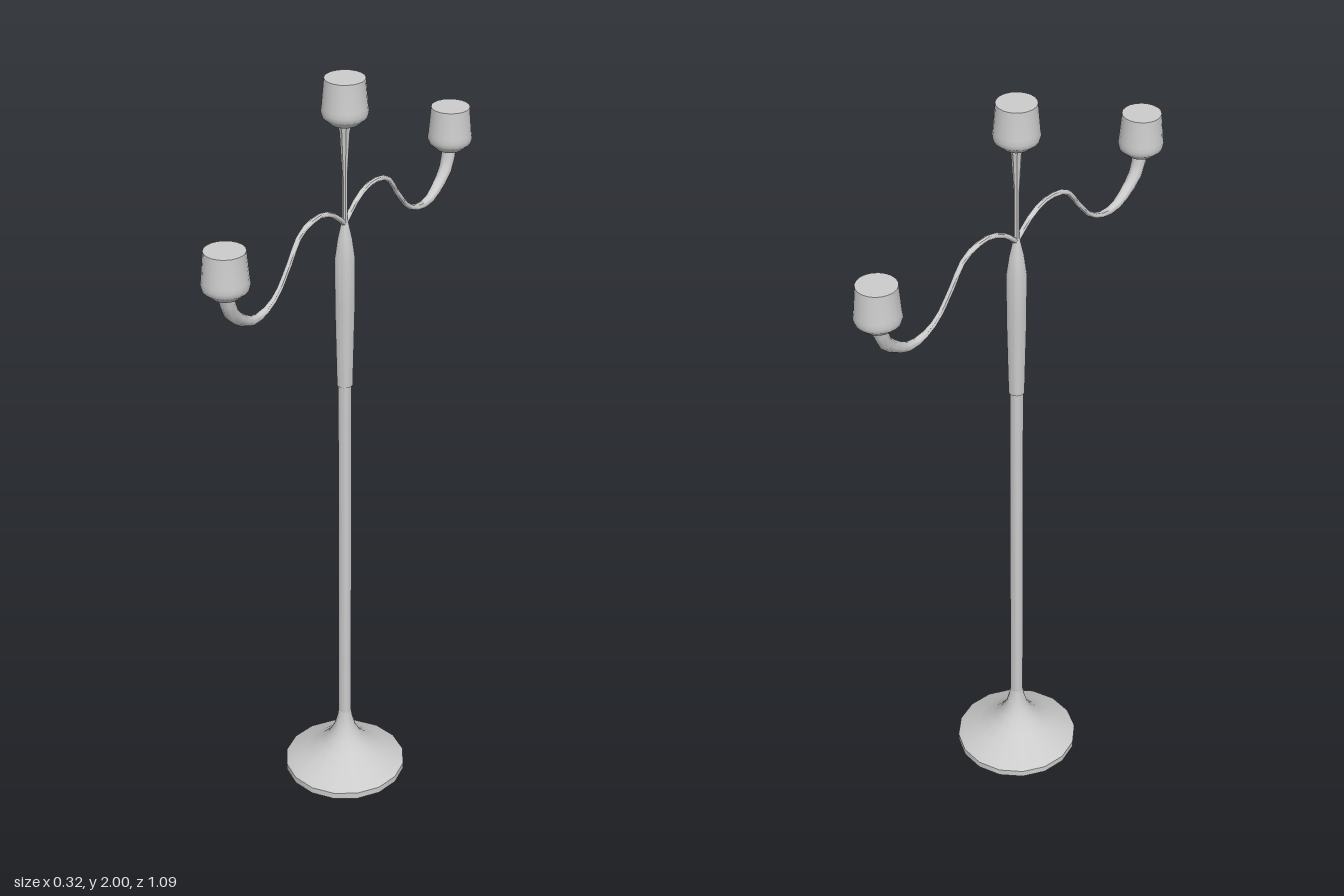
import * as THREE from 'three';
import { toCreasedNormals } from 'three/addons/utils/BufferGeometryUtils.js';

const material = new THREE.MeshStandardMaterial({ color: 0xcccccc });

// Turned part from [radius, height] pairs, bottom to top
function turned(name, profile, sides = 16) {
  const points = profile.map(([r, y]) => new THREE.Vector2(r, y));
  const mesh = new THREE.Mesh(toCreasedNormals(new THREE.LatheGeometry(points, sides), 0.6), material);
  mesh.name = name;
  return mesh;
}

// Candle cup, its origin at the underside
function candleCup(name, y, z) {
  const cup = turned(name, [
    [0, 0], [0.034, 0], [0.054, 0.018], [0.057, 0.03], [0.055, 0.042], [0.049, 0.112], [0, 0.112],
  ], 20);
  cup.position.set(0, y, z);
  return cup;
}

// Curved arm towards +z, thickening below its cup
function armGeometry() {
  const path = new THREE.CatmullRomCurve3([
    [0, 1.63], [0.045, 1.667], [0.09, 1.688], [0.13, 1.692], [0.19, 1.675], [0.24, 1.615],
    [0.29, 1.562], [0.34, 1.541], [0.39, 1.541], [0.435, 1.565], [0.473, 1.602], [0.487, 1.655],
  ].map(([z, y]) => new THREE.Vector3(0, y, z)));
  const segments = 20, sides = 8;
  const geometry = new THREE.TubeGeometry(path, segments, 1, sides);
  const position = geometry.attributes.position;
  const vertex = new THREE.Vector3();
  for (let i = 0; i < position.count; i++) {
    const t = Math.floor(i / (sides + 1)) / segments;
    const radius = 0.007 + 0.012 * THREE.MathUtils.smoothstep(t, 0.55, 1);
    const center = path.getPointAt(t);
    vertex.fromBufferAttribute(position, i).sub(center).multiplyScalar(radius).add(center);
    position.setXYZ(i, vertex.x, vertex.y, vertex.z);
  }
  geometry.computeVertexNormals();
  return toCreasedNormals(geometry, 1.0);
}

export function createModel() {
  const model = new THREE.Group();
  model.name = 'candelabra';

  // Flared foot
  model.add(turned('base', [
    [0, 0], [0.162, 0], [0.162, 0.018], [0.145, 0.028], [0.105, 0.049], [0.07, 0.072],
    [0.045, 0.098], [0.029, 0.127], [0.02, 0.16], [0.017, 0.18],
  ]));

  // Straight pole, swelling towards the top
  model.add(turned('pole', [
    [0.017, 0.16], [0.017, 1.19], [0.02, 1.19], [0.025, 1.42], [0.025, 1.54], [0.018, 1.59], [0.007, 1.64],
  ]));

  // Thin stem carrying the centre cup
  model.add(turned('centerStem', [
    [0.007, 1.62], [0.007, 1.76], [0.011, 1.83], [0.013, 1.865], [0.018, 1.888], [0.018, 1.9],
  ], 8));
  model.add(candleCup('centerCup', 1.888, 0));

  // Front arm and back arm, each with a cup
  const arm = armGeometry();
  for (const [side, angle] of [['front', 0], ['back', Math.PI]]) {
    const group = new THREE.Group();
    group.name = side + 'Branch';
    const mesh = new THREE.Mesh(arm, material);
    mesh.name = side + 'Arm';
    group.add(mesh, candleCup(side + 'Cup', 1.647, 0.487));
    group.rotation.y = angle;
    model.add(group);
  }
  return model;
}
